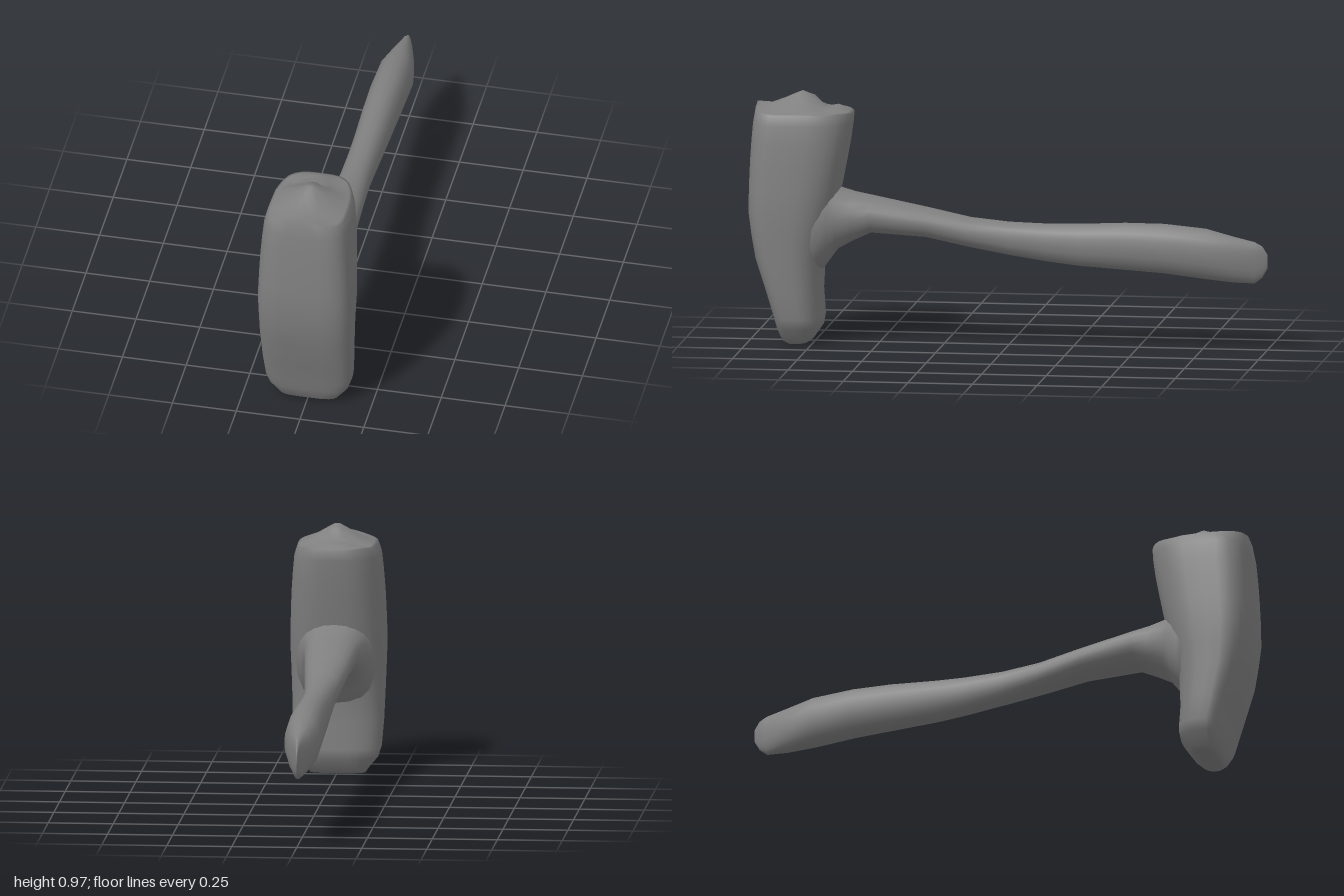
import * as THREE from 'three';

const material = new THREE.MeshStandardMaterial({ color: 0x808080 });

// Skin closed rings of points with smooth normals, closing both ends.
function loft(name, rings) {
  const n = rings[0].length;
  const points = rings.flat();
  const index = [];
  for (let r = 0; r < rings.length - 1; r++) {
    for (let i = 0; i < n; i++) {
      const a = r * n + i, b = r * n + (i + 1) % n;
      index.push(a, b, a + n, b, b + n, a + n);
    }
  }
  const addCap = (start, last) => {
    const centre = new THREE.Vector3();
    for (let i = 0; i < n; i++) centre.addScaledVector(points[start + i], 1 / n);
    points.push(centre);
    const c = points.length - 1;
    for (let i = 0; i < n; i++) {
      const a = start + i, b = start + (i + 1) % n;
      if (last) index.push(c, a, b); else index.push(c, b, a);
    }
  };
  addCap(0, false);
  addCap((rings.length - 1) * n, true);
  const geometry = new THREE.BufferGeometry().setFromPoints(points);
  geometry.setIndex(index);
  geometry.computeVertexNormals();
  const mesh = new THREE.Mesh(geometry, material);
  mesh.name = name;
  return mesh;
}

// Linear lookup in a list of [key, value], keys ascending.
function lookup(table, k) {
  if (k <= table[0][0]) return table[0][1];
  for (let i = 1; i < table.length; i++) {
    const [k0, v0] = table[i - 1], [k1, v1] = table[i];
    if (k <= k1) return v0 + (v1 - v0) * (k - k0) / (k1 - k0);
  }
  return table[table.length - 1][1];
}

const power = (v, e) => Math.sign(v) * Math.abs(v) ** e;

// Flat-fronted, round-backed outline of the head.
function headRing(y, front, back, halfWidth, sides = 32) {
  const middle = back + (front - back) * 0.58;
  return Array.from({ length: sides }, (_, i) => {
    const a = i / sides * Math.PI * 2;
    const s = Math.sin(a), c = Math.cos(a);
    const e = c > 0 ? 0.55 : 0.75;
    const z = middle + power(c, e) * (c > 0 ? front - middle : middle - back);
    return new THREE.Vector3(halfWidth * power(s, e), y, z);
  });
}

function createHead() {
  // y, front z, back z, half width
  const sections = [
    [0.0, 0.85, 0.77, 0.108],
    [0.012, 0.872, 0.755, 0.115],
    [0.06, 0.89, 0.722, 0.155],
    [0.1, 0.9, 0.715, 0.168],
    [0.2, 0.93, 0.722, 0.175],
    [0.33, 0.972, 0.715, 0.179],
    [0.42, 0.988, 0.695, 0.182],
    [0.51, 1.0, 0.67, 0.185],
    [0.6, 0.999, 0.65, 0.182],
    [0.7, 0.995, 0.63, 0.178],
    [0.78, 0.99, 0.615, 0.172],
    [0.85, 0.984, 0.605, 0.165],
  ];
  const rings = sections.map((s) => headRing(...s));

  // Uneven, battered top: a ridge line along z falling away to the sides
  const ridge = [[0.6, 0.885], [0.66, 0.92], [0.71, 0.905], [0.75, 0.95],
    [0.8, 0.968], [0.91, 0.922], [0.97, 0.925]];
  for (const scale of [1, 0.93, 0.68, 0.42, 0.21, 0.07]) {
    const ring = headRing(0, 0.974, 0.602, 0.152);
    for (const p of ring) {
      p.x *= scale;
      p.z = 0.79 + (p.z - 0.79) * scale;
      const fall = Math.min(1, Math.max(0, 1.1 - Math.abs(p.x) / 0.15)) ** 1.2;
      p.y = 0.887 + (lookup(ridge, p.z) - 0.887) * fall;
    }
    rings.push(ring);
  }
  return loft('head', rings);
}

function createHandle() {
  // z, top y, bottom y, half width; flares where it enters the head
  const sections = [
    [0.8, 0.69, 0.22, 0.165],
    [0.73, 0.64, 0.265, 0.152],
    [0.69, 0.615, 0.32, 0.138],
    [0.66, 0.598, 0.36, 0.125],
    [0.6, 0.58, 0.392, 0.114],
    [0.53, 0.566, 0.425, 0.104],
    [0.32, 0.525, 0.412, 0.086],
    [0.15, 0.49, 0.376, 0.07],
    [0, 0.476, 0.348, 0.06],
    [-0.15, 0.472, 0.325, 0.06],
    [-0.27, 0.474, 0.311, 0.062],
    [-0.45, 0.482, 0.299, 0.067],
    [-0.6, 0.481, 0.289, 0.07],
    [-0.76, 0.466, 0.27, 0.069],
    [-0.87, 0.437, 0.259, 0.047],
    [-0.95, 0.418, 0.257, 0.024],
    [-0.98, 0.402, 0.28, 0.012],
    [-1, 0.37, 0.315, 0.003],
  ];
  const sides = 20;
  return loft('handle', sections.map(([z, top, bottom, halfWidth]) =>
    Array.from({ length: sides }, (_, i) => {
      const a = i / sides * Math.PI * 2;
      return new THREE.Vector3(
        halfWidth * power(Math.sin(a), 0.9),
        (top + bottom) / 2 + (top - bottom) / 2 * power(Math.cos(a), 0.9),
        z);
    })));
}

export function createModel() {
  const model = new THREE.Group();
  model.name = 'hammer';
  model.add(createHead(), createHandle());
  return model;
}
